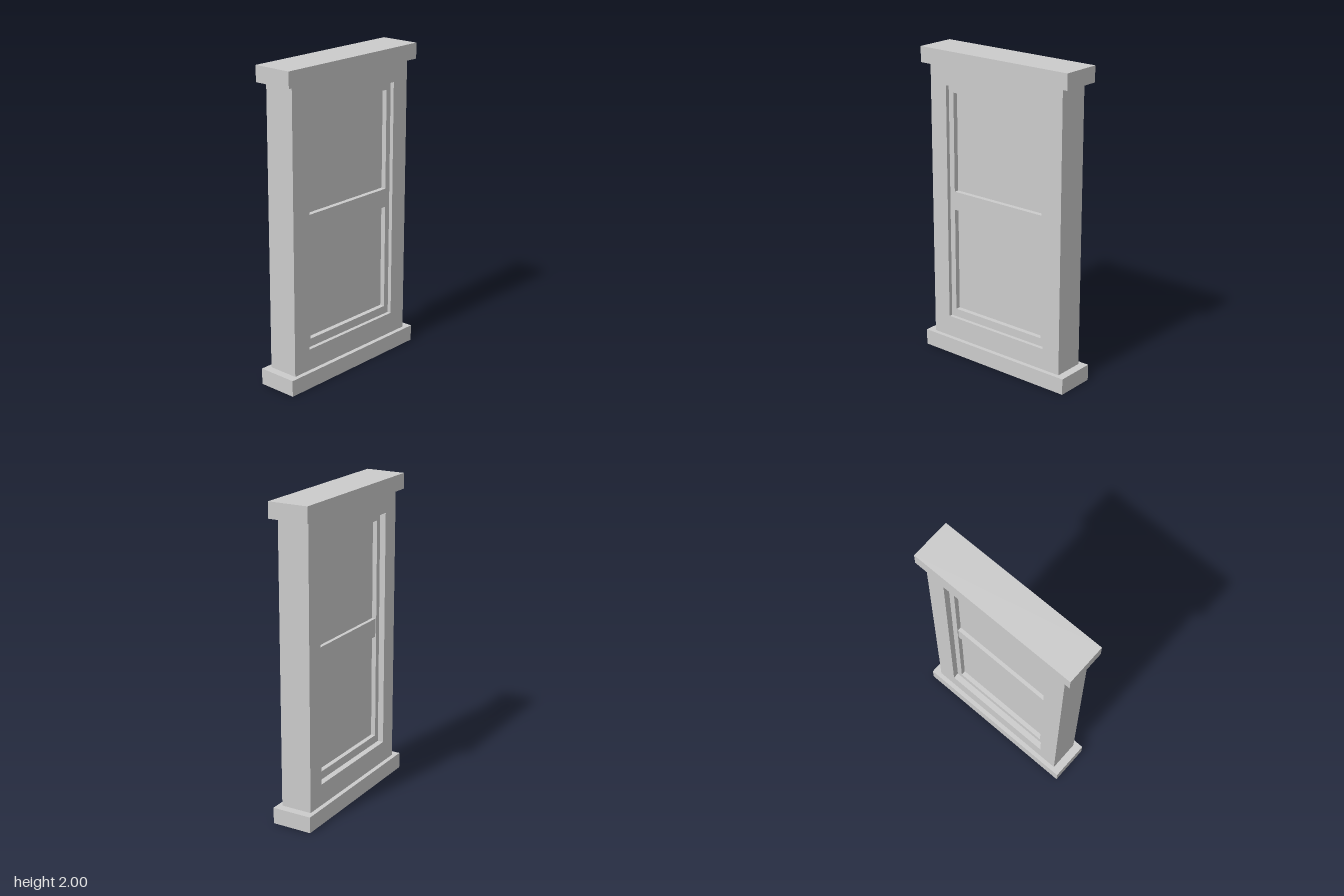
import * as THREE from 'three';

const material = new THREE.MeshStandardMaterial({ color: 0xcccccc, flatShading: true });

// Rectangular ring with one opening; bounds are [x half width, y bottom, y top]
function ring(name, outer, inner, zBack, zFront) {
  const trace = (path, [w, y0, y1]) => {
    path.moveTo(-w, y0).lineTo(w, y0).lineTo(w, y1).lineTo(-w, y1).closePath();
    return path;
  };
  const shape = trace(new THREE.Shape(), outer);
  shape.holes.push(trace(new THREE.Path(), inner));
  const geometry = new THREE.ExtrudeGeometry(shape, { depth: zFront - zBack, bevelEnabled: false });
  geometry.translate(0, 0, zBack);
  const mesh = new THREE.Mesh(geometry, material);
  mesh.name = name;
  return mesh;
}

function slab(name, [w, y0, y1], zBack, zFront) {
  const mesh = new THREE.Mesh(new THREE.BoxGeometry(2 * w, y1 - y0, zFront - zBack), material);
  mesh.position.set(0, (y0 + y1) / 2, (zBack + zFront) / 2);
  mesh.name = name;
  return mesh;
}

export function createModel() {
  const group = new THREE.Group();
  group.name = 'window';
  const opening = [0.385, 0.242, 1.777];
  const sashOpening = [0.347, 0.295, 1.732];

  // Sill and head overhang the casing on all sides
  group.add(slab('sill', [0.563, 0, 0.104], -0.131, 0.131));
  group.add(slab('head', [0.563, 1.9, 2], -0.131, 0.131));
  group.add(ring('casing', [0.51, 0.104, 1.9], opening, -0.102, 0.102));

  // Sash set back inside the casing, with a meeting rail across it
  group.add(ring('sash', opening, sashOpening, -0.063, 0.077));
  group.add(slab('meetingRail', [0.347, 0.975, 1.095], -0.057, 0.077));

  // Panes above and below the rail
  group.add(slab('lowerPane', [0.347, 0.295, 0.975], -0.033, 0.045));
  group.add(slab('upperPane', [0.347, 1.095, 1.732], -0.033, 0.045));
  return group;
}
